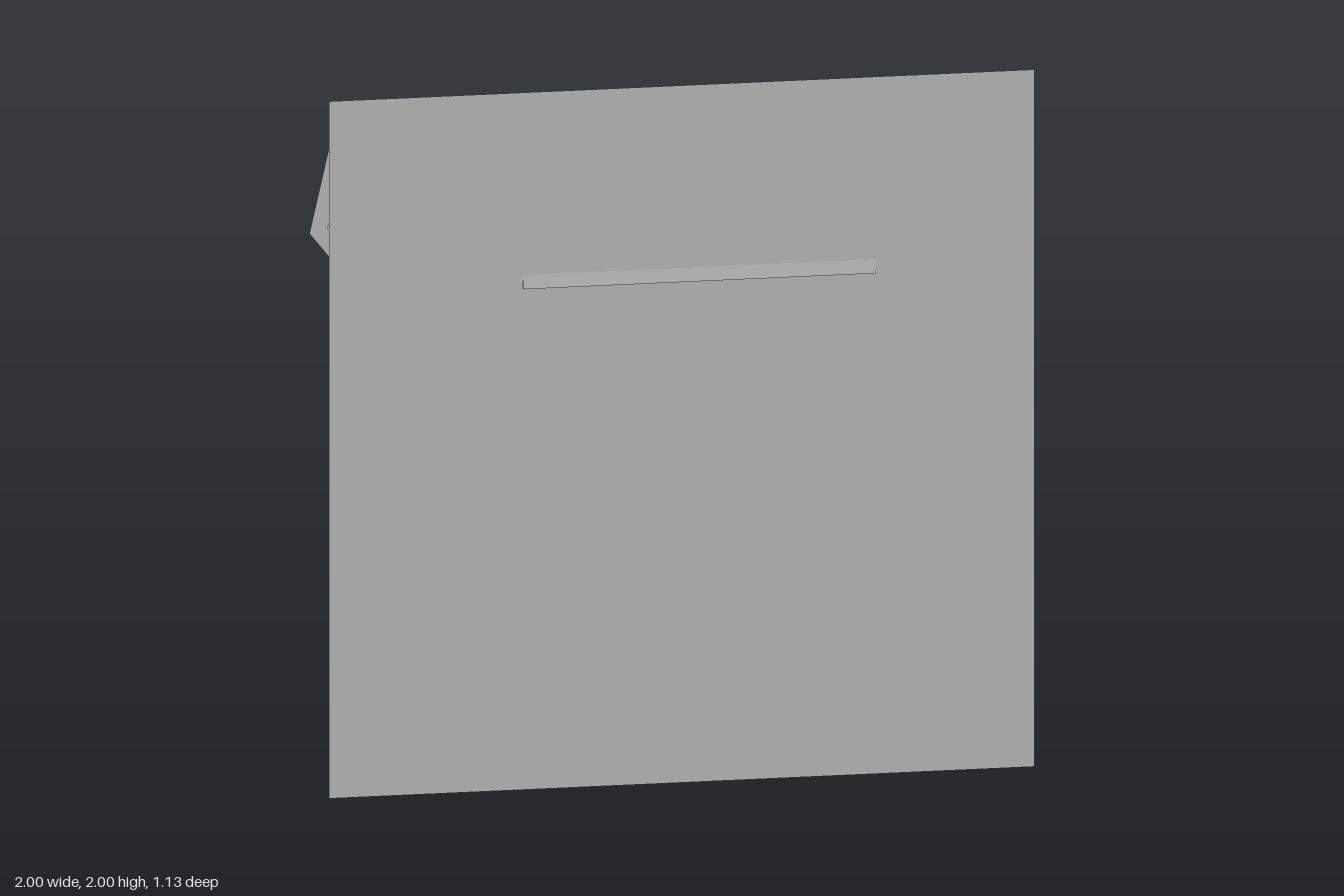
import * as THREE from 'three';

const material = new THREE.MeshStandardMaterial({ color: 0xcccccc, flatShading: true });

function add(parent, name, geometry, mat = material) {
  const mesh = new THREE.Mesh(geometry, mat);
  mesh.name = name;
  parent.add(mesh);
  return mesh;
}

function makeShape(points, holes = []) {
  const shape = new THREE.Shape(points.map(([a, b]) => new THREE.Vector2(a, b)));
  for (const [a0, a1, b0, b1] of holes) {
    shape.holes.push(new THREE.Path([[a0, b0], [a0, b1], [a1, b1], [a1, b0]].map(([a, b]) => new THREE.Vector2(a, b))));
  }
  return shape;
}

const extrude = (shape, depth) => new THREE.ExtrudeGeometry(shape, { depth, bevelEnabled: false });

// profile given as [z, y], swept along x
function alongX(points, x0, x1, holes = []) {
  const shape = makeShape(points.map(([z, y]) => [-z, y]), holes.map(([z0, z1, y0, y1]) => [-z1, -z0, y0, y1]));
  return extrude(shape, x1 - x0).rotateY(Math.PI / 2).translate(x0, 0, 0);
}

// profile given as [x, z], swept along y
function alongY(points, y0, y1, holes = []) {
  const shape = makeShape(points.map(([x, z]) => [x, -z]), holes.map(([x0, x1, z0, z1]) => [x0, x1, -z1, -z0]));
  return extrude(shape, y1 - y0).rotateX(-Math.PI / 2).translate(0, y0, 0);
}

const SIDES = 7;
const TX = -0.59, TY = 1.475;

// seven-sided section of the tower, running from z0 back to z1
function towerSection(r0, r1, z0, z1) {
  return new THREE.CylinderGeometry(r1, r0, z0 - z1, SIDES)
    .rotateX(-Math.PI / 2)
    .translate(TX, TY, (z0 + z1) / 2);
}

function buildTower() {
  const tower = new THREE.Group();
  tower.name = 'tower';
  add(tower, 'towerShaft', towerSection(0.172, 0.172, 0.56, -0.055));
  add(tower, 'towerFlare', towerSection(0.172, 0.22, -0.055, -0.105));
  add(tower, 'towerHeadCore', towerSection(0.224, 0.224, -0.107, -0.305));
  add(tower, 'towerRoof', towerSection(0.31, 0, -0.305, -0.565));

  // wall panels of the head, one of them with a window
  const r = 0.257, depth = 0.03;
  const half = r * Math.sin(Math.PI / SIDES), apothem = r * Math.cos(Math.PI / SIDES);
  const corners = [[-half, -0.1], [half, -0.1], [half, 0.1], [-half, 0.1]];
  for (let i = 0; i < SIDES; i++) {
    const a = (i + 0.5) * 2 * Math.PI / SIDES;
    const s = Math.sin(a), c = Math.cos(a);
    const holes = i === 1 ? [[-0.045, 0.04, -0.065, 0.065]] : [];
    const basis = new THREE.Matrix4().makeBasis(
      new THREE.Vector3(c, -s, 0), new THREE.Vector3(0, 0, -1), new THREE.Vector3(s, c, 0));
    basis.setPosition(TX + s * (apothem - depth), TY + c * (apothem - depth), -0.205);
    add(tower, 'towerHeadPanel', extrude(makeShape(corners, holes), depth).applyMatrix4(basis));
  }
  return tower;
}

function buildRampart() {
  const rampart = new THREE.Group();
  rampart.name = 'rampart';
  const X0 = -0.45, X1 = 0.55, pitch = 1 / 9;
  // body with a sloping walkway and a slightly proud foot
  const body = [[0.56, 1.575], [0.27, 1.575], [0.245, 1.437], [0.566, 1.437], [0.56, 1.485]];
  add(rampart, 'rampartBody', alongX(body, X0, X1));
  const tooth = [[0.29, 1.575], [0.21, 1.575], [0.21, 1.437], [0.29, 1.437]];
  for (let i = 0; i < 9; i += 2) {
    add(rampart, 'merlon', alongX(tooth, X0 + i * pitch, X0 + (i + 1) * pitch));
  }
  return rampart;
}

function buildHall() {
  const hall = new THREE.Group();
  hall.name = 'hall';
  add(hall, 'hallWalls', alongY([[-0.79, 0.56], [-0.445, 0.56], [-0.445, 0.315], [-0.79, 0.315]], 0.54, 1.312));
  // outer wall layer with the doorway cut in from the ground
  add(hall, 'doorWall', alongX([
    [0.56, 0.54], [0.315, 0.54], [0.315, 1.312], [0.56, 1.312],
    [0.56, 1.155], [0.41, 1.155], [0.41, 1.07], [0.56, 1.07],
  ], -0.445, -0.415));
  add(hall, 'hallRoof', alongY([[-0.805, 0.325], [-0.4, 0.325], [-0.6, 0.12]], 0.525, 1.32));
  return hall;
}

function buildArcade() {
  const arcade = new THREE.Group();
  arcade.name = 'arcade';
  add(arcade, 'arcadeRoof', alongX([[0.25, 0.785], [0.28, 0.785], [0.355, 0.545], [0.325, 0.545]], -0.5, 0.55));
  add(arcade, 'arcadeEndWall', alongX(
    [[0.56, 0.54], [0.335, 0.54], [0.265, 0.783], [0.56, 0.783]], 0.51, 0.549, [[0.35, 0.51, 0.59, 0.76]]));
  // long wall with three openings
  const openings = [0, 1, 2].map((i) => [-0.37 + i * 0.3, -0.11 + i * 0.3, 0.36, 0.51]);
  add(arcade, 'arcadeWall', alongY([[-0.42, 0.56], [0.55, 0.56], [0.55, 0.33], [-0.42, 0.33]], 0.54, 0.57, openings));
  return arcade;
}

export function createModel() {
  const model = new THREE.Group();
  model.name = 'castle';
  const sheet = material.clone();
  sheet.side = THREE.DoubleSide;
  add(model, 'groundPlate', new THREE.PlaneGeometry(2, 2).translate(0, 1, 0.561), sheet);
  model.add(buildTower(), buildRampart(), buildHall(), buildArcade());
  return model;
}
